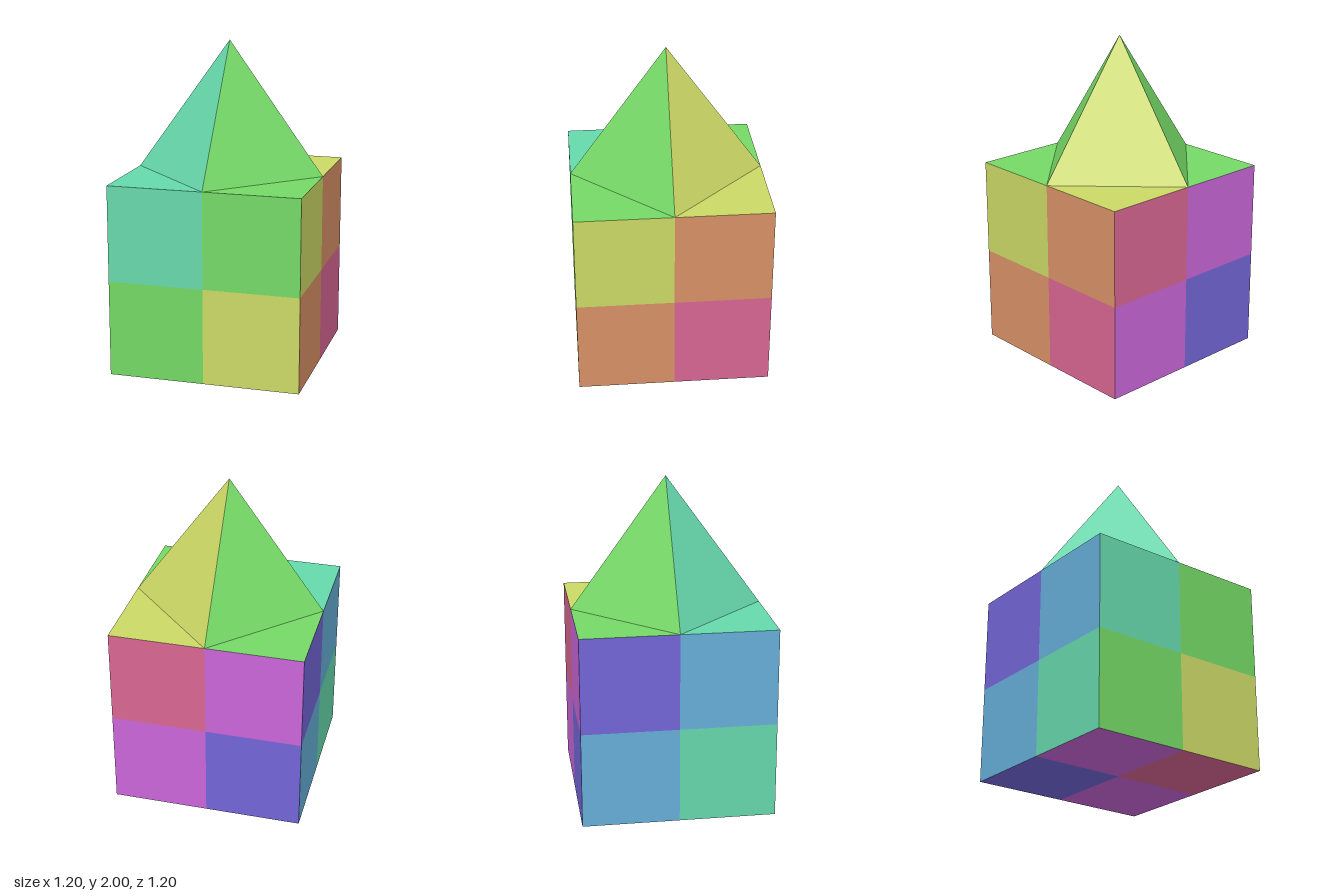
import * as THREE from 'three';

const H = 0.59;       // half width of the cube
const TOP = 1.185;    // top of the cube
const APEX = 2;       // tip of the pyramid

const paint = (name, color) => {
  const m = new THREE.MeshStandardMaterial({ color });
  m.name = name;
  return m;
};

// Flat polygon given by its corners, counter-clockwise seen from outside
function facet(name, corners, material) {
  const geo = new THREE.BufferGeometry();
  geo.setAttribute('position', new THREE.Float32BufferAttribute(corners.flat(), 3));
  geo.setIndex(corners.length === 4 ? [0, 1, 2, 0, 2, 3] : [0, 1, 2]);
  geo.computeVertexNormals();
  const mesh = new THREE.Mesh(geo, material);
  mesh.name = name;
  return mesh;
}

export function createModel() {
  // Colour wheel in eight even steps of hue
  const wheel = [
    paint('teal', 0x66d8ac), paint('green', 0x75d866), paint('yellow', 0xcbd866), paint('orange', 0xd89066),
    paint('pink', 0xd86692), paint('purple', 0xc966d8), paint('indigo', 0x7366d8), paint('blue', 0x66aed8),
  ];

  const model = new THREE.Group();
  const cube = new THREE.Group();
  cube.name = 'cube';
  const pyramid = new THREE.Group();
  pyramid.name = 'pyramid';
  model.add(cube, pyramid);

  // Walls: front, +x side, back, -x side, each two by two tiles
  const wallNames = ['frontWall', 'leftWall', 'backWall', 'rightWall'];
  wallNames.forEach((name, side) => {
    const wall = new THREE.Group();
    wall.name = name;
    wall.rotation.y = side * Math.PI / 2;
    for (let col = 0; col < 2; col++) {
      for (let row = 0; row < 2; row++) {
        const x0 = (col - 1) * H, x1 = col * H;
        const y1 = TOP * (1 - row / 2), y0 = y1 - TOP / 2;
        wall.add(facet('wallTile',
          [[x0, y0, H], [x1, y0, H], [x1, y1, H], [x0, y1, H]],
          wheel[(side * 2 + col + row) % 8]));
      }
    }
    cube.add(wall);
  });

  // Quadrants: signs of x and z, colour on top, colour underneath
  const quadrants = [[-1, 1, 0, 5], [1, 1, 1, 4], [1, -1, 2, 5], [-1, -1, 1, 6]];
  for (const [sx, sz, upper, lower] of quadrants) {
    const x = sx * H, z = sz * H;
    const order = list => (sx * sz > 0 ? list : list.reverse());
    cube.add(facet('topCorner',
      order([[0, TOP, z], [x, TOP, z], [x, TOP, 0]]), wheel[upper]));
    cube.add(facet('baseTile',
      order([[0, 0, 0], [x, 0, 0], [x, 0, z], [0, 0, z]]), wheel[lower]));
    pyramid.add(facet('pyramidFace',
      order([[0, TOP, z], [x, TOP, 0], [0, APEX, 0]]), wheel[upper]));
  }

  // The whole solid is turned by one degree
  model.rotation.y = 0.0175;
  return model;
}
